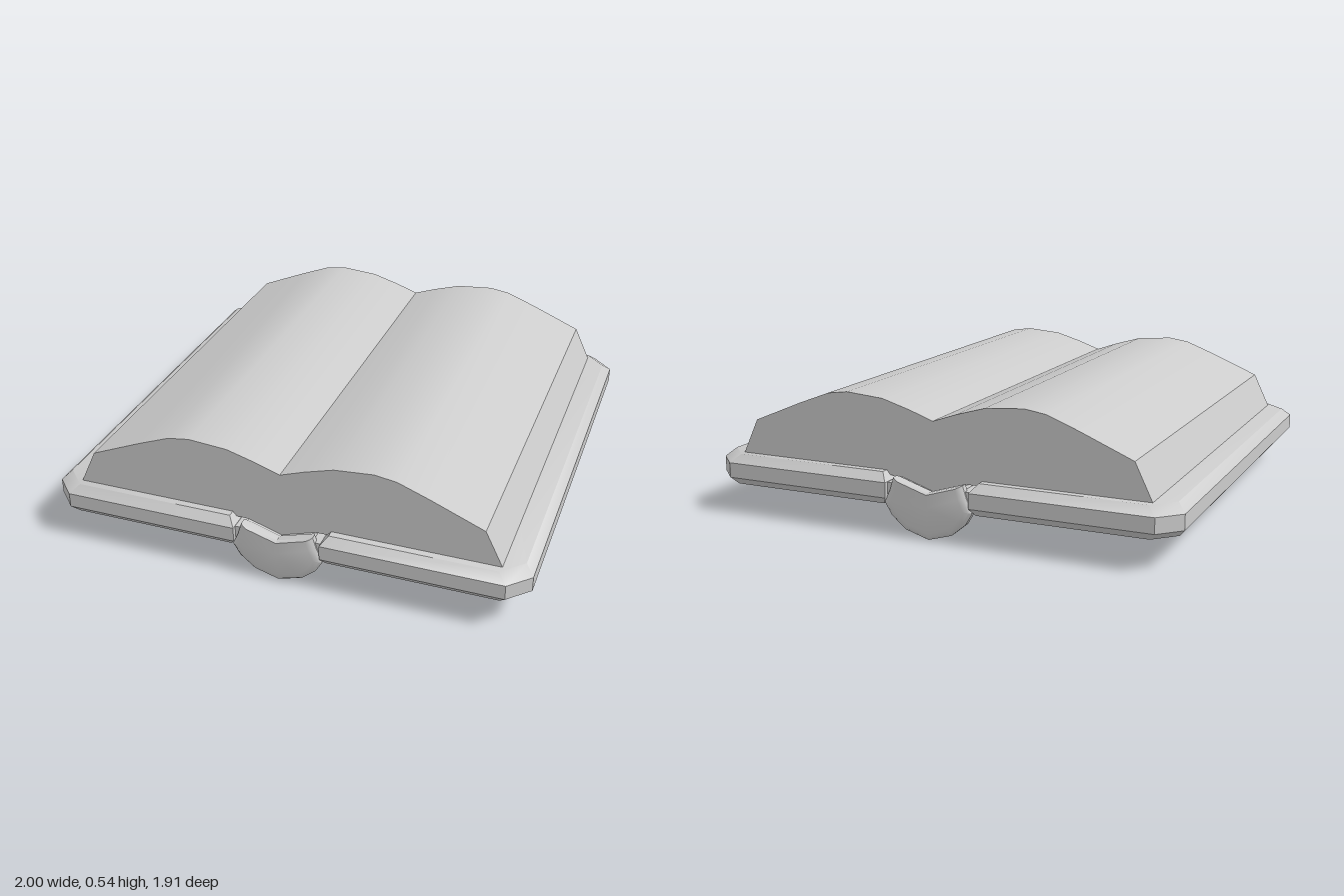
import * as THREE from 'three';
import { toCreasedNormals } from 'three/addons/utils/BufferGeometryUtils.js';

const material = new THREE.MeshStandardMaterial({ color: 0xcccccc });

function part(name, geometry, crease) {
  const mesh = new THREE.Mesh(toCreasedNormals(geometry, crease), material);
  mesh.name = name;
  return mesh;
}

// Closed skin over rings of equal length, each counter-clockwise about the direction of travel
function loft(rings) {
  const pos = [];
  const tri = (...points) => points.forEach((p) => pos.push(p.x, p.y, p.z));
  const n = rings[0].length;
  const middle = (ring) => ring.reduce((s, p) => s.add(p), new THREE.Vector3()).divideScalar(n);
  const first = rings[0], last = rings[rings.length - 1];
  const c0 = middle(first), c1 = middle(last);
  for (let i = 0; i < n; i++) {
    const j = (i + 1) % n;
    tri(c0, first[j], first[i]);
    tri(c1, last[i], last[j]);
    for (let r = 0; r < rings.length - 1; r++) {
      const a = rings[r], b = rings[r + 1];
      tri(a[i], a[j], b[j]);
      tri(a[i], b[j], b[i]);
    }
  }
  const geometry = new THREE.BufferGeometry();
  geometry.setAttribute('position', new THREE.Float32BufferAttribute(pos, 3));
  return geometry;
}

// Right half of a profile, bottom to top, completed by its mirror image
function mirrored(half) {
  const left = half.filter(([x]) => x > 0).map(([x, y]) => [-x, y]).reverse();
  const top = half[half.length - 1];
  return top[0] > 0 ? [...half, ...left] : [...half.slice(0, -1), top, ...left];
}

// Spine piece: one profile carried along z, with [z, scale] stations for rounded ends
function spinePiece(name, half, stations) {
  const profile = mirrored(half);
  const rings = stations.map(([z, s]) =>
    profile.map(([x, y]) => new THREE.Vector3(x * s, 0.16 + (y - 0.16) * s, z)));
  return part(name, loft(rings), 0.6);
}

// Cover outline with its two outer corners cut, shrunk by an inset
function coverRing([inset, y]) {
  const x0 = 0.18 + inset * 0.8, x1 = 1 - inset, z = 0.955 - inset, cut = 0.085;
  return [[x0, z], [x1 - cut, z], [x1, z - cut], [x1, -z + cut], [x1 - cut, -z], [x0, -z]]
    .map(([x, zz]) => new THREE.Vector3(x, y, zz));
}

export function createModel() {
  const book = new THREE.Group();
  book.name = 'openBook';

  // Covers: recessed stepped panel below, bevelled rim, flat top
  const coverSteps = [
    [0.15, 0.155], [0.135, 0.14], [0.115, 0.14], [0.1, 0.12], [0.025, 0.12],
    [0, 0.15], [0, 0.212], [0.035, 0.245],
  ];
  const coverGeometry = loft(coverSteps.map(coverRing));
  ['leftCover', 'rightCover'].forEach((name, i) => {
    const cover = part(name, coverGeometry, 0.6);
    cover.rotation.y = i * Math.PI;
    book.add(cover);
  });

  // Page block: two arched halves meeting in a central gutter
  const pageHalf = [
    [0, 0.18], [0.15, 0.225], [0.89, 0.235], [0.815, 0.39], [0.6, 0.48], [0.47, 0.53],
    [0.38, 0.543], [0.22, 0.53], [0.1, 0.495], [0, 0.46],
  ];
  const pageShape = new THREE.Shape(mirrored(pageHalf).map(([x, y]) => new THREE.Vector2(x, y)));
  const pageGeometry = new THREE.ExtrudeGeometry(pageShape, { depth: 1.78, bevelEnabled: false });
  pageGeometry.translate(0, 0, -0.89);
  book.add(part('pages', pageGeometry, 0.5));

  // Spine body
  const spineHalf = [[0, 0.06], [0.09, 0.073], [0.145, 0.115], [0.16, 0.17], [0.14, 0.225], [0, 0.18]];
  book.add(spinePiece('spine', spineHalf, [[-0.92, 1], [0.92, 1]]));

  // Raised bands across the spine
  const bandHalf = [[0, 0.03], [0.1, 0.048], [0.162, 0.105], [0.17, 0.15], [0.13, 0.2], [0, 0.18]];
  for (const z of [-0.445, 0, 0.445]) {
    book.add(spinePiece('spineBand', bandHalf,
      [[z - 0.11, 0.78], [z - 0.105, 0.88], [z - 0.08, 1], [z + 0.08, 1], [z + 0.105, 0.88], [z + 0.11, 0.78]]));
  }

  // Heavy caps at both spine ends
  const capHalf = [
    [0, 0], [0.1, 0.03], [0.16, 0.08], [0.19, 0.13], [0.165, 0.185], [0.15, 0.235], [0, 0.188],
  ];
  for (const z of [-0.928, 0.928]) {
    book.add(spinePiece('spineCap', capHalf,
      [[z - 0.027, 0.82], [z - 0.022, 0.94], [z - 0.012, 1], [z + 0.012, 1], [z + 0.022, 0.94], [z + 0.027, 0.82]]));
  }

  // Hinge strips joining spine and covers
  for (const side of [-1, 1]) {
    const hinge = part('hinge', new THREE.BoxGeometry(0.07, 0.05, 1.87), 0.5);
    hinge.position.set(side * 0.17, 0.185, 0);
    book.add(hinge);
  }
  return book;
}
